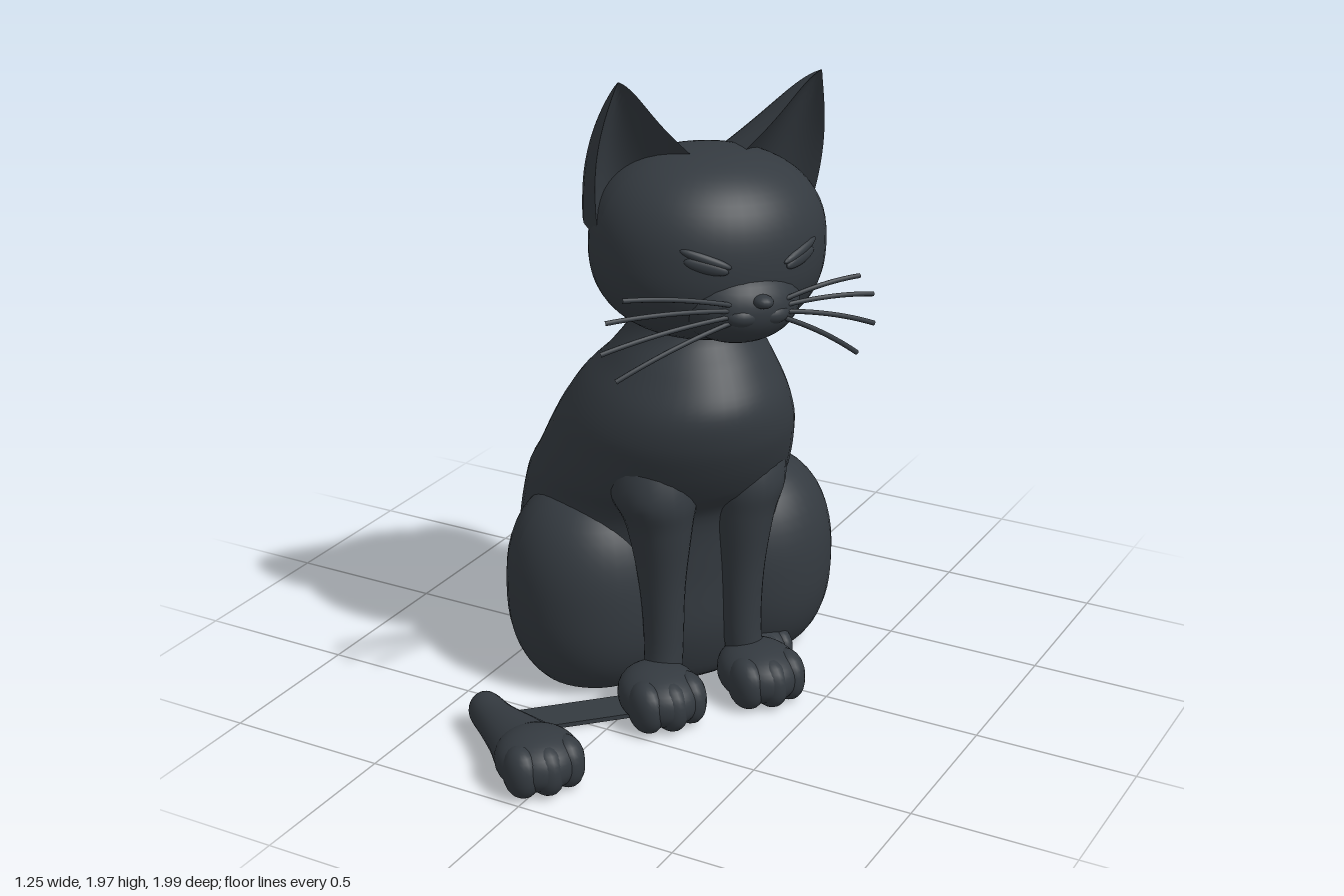
import * as THREE from 'three';
import { toCreasedNormals } from 'three/addons/utils/BufferGeometryUtils.js';

const V = (x, y, z) => new THREE.Vector3(x, y, z);

// Surface through closed loops of points, listed bottom to top
function skin(loops, crease = 0.8) {
  const n = loops[0].length, index = [];
  for (let i = 0; i < loops.length - 1; i++) {
    for (let j = 0; j < n; j++) {
      const p = i * n + j, q = i * n + (j + 1) % n;
      index.push(p, p + n, q, q, p + n, q + n);
    }
  }
  const geo = new THREE.BufferGeometry();
  geo.setAttribute('position', new THREE.Float32BufferAttribute(loops.flat().flatMap(v => v.toArray()), 3));
  geo.setIndex(index);
  return toCreasedNormals(geo, crease);
}

// Smooth loft through elliptical rings [x, y, z, radiusX, radiusZ], closed at both ends
function loft(rings, steps = 40, sides = 40) {
  const centres = new THREE.CatmullRomCurve3(rings.map(r => V(r[0], r[1], r[2])), false, 'catmullrom', 0.5);
  const radii = new THREE.CatmullRomCurve3(rings.map(r => V(r[3], r[4], 0)), false, 'catmullrom', 0.5);
  const ring = (t, k) => {
    const c = centres.getPoint(t), r = radii.getPoint(t);
    return Array.from({ length: sides }, (_, j) => {
      const a = j / sides * Math.PI * 2;
      return V(c.x + Math.cos(a) * r.x * k, c.y, c.z + Math.sin(a) * r.y * k);
    });
  };
  const loops = [ring(0, 0.001)];
  for (let i = 0; i <= steps; i++) loops.push(ring(i / steps, 1));
  loops.push(ring(1, 0.001));
  return skin(loops);
}

// Ellipsoid; power above 2 makes it fuller, and nothing drops below the floor
function blob(x, y, z, a, b, c, power = 2, detail = 32) {
  const geo = new THREE.SphereGeometry(1, detail, Math.round(detail * 0.7));
  const p = geo.attributes.position;
  for (let i = 0; i < p.count; i++) {
    const v = V().fromBufferAttribute(p, i);
    v.divideScalar(Math.pow(Math.abs(v.y) ** power + Math.hypot(v.x, v.z) ** power, 1 / power));
    p.setXYZ(i, x + v.x * a, Math.max(0, y + v.y * b), z + v.z * c);
  }
  geo.computeVertexNormals();
  return geo;
}

export function createModel() {
  const fur = new THREE.MeshStandardMaterial({ color: 0x343a40 });
  fur.name = 'charcoal';
  const model = new THREE.Group();
  model.name = 'cat';
  const cat = new THREE.Group();
  cat.name = 'sittingCat';
  cat.rotation.y = 0.95;
  model.add(cat);
  const add = (parent, name, geo) => {
    const mesh = new THREE.Mesh(geo, fur);
    mesh.name = name;
    parent.add(mesh);
    return mesh;
  };

  // Torso, from the flat seat to the neck
  add(cat, 'body', loft([
    [0, 0, -0.22, 0.34, 0.33],
    [0, 0.05, -0.22, 0.38, 0.38],
    [0, 0.2, -0.225, 0.42, 0.43],
    [0, 0.4, -0.23, 0.43, 0.44],
    [-0.01, 0.6, -0.185, 0.41, 0.415],
    [-0.02, 0.7, -0.11, 0.39, 0.415],
    [-0.025, 0.8, -0.046, 0.37, 0.41],
    [-0.03, 0.9, 0.012, 0.345, 0.39],
    [-0.03, 1.0, 0.055, 0.3, 0.35],
    [-0.02, 1.1, 0.08, 0.24, 0.265],
    [-0.01, 1.2, 0.077, 0.185, 0.19],
    [0, 1.32, 0.09, 0.17, 0.17],
  ], 60, 48));

  // Paw with three rounded toes
  function paw(parent, name, x, z, a, h, c) {
    const g = new THREE.Group();
    g.name = name;
    parent.add(g);
    add(g, 'pad', blob(x, h, z, a, h, c, 2.3));
    for (let k = -1; k <= 1; k++) {
      add(g, 'toe', blob(x + k * a * 0.56, h * 0.93, z + c * (0.5 - 0.14 * k * k), a * 0.42, h * 0.93, c * 0.53, 2.3, 20));
    }
  }

  for (const s of [-1, 1]) {
    const side = s > 0 ? 'left' : 'right';
    add(cat, side + 'Haunch', blob(s * 0.265, 0.3, -0.1, 0.28, 0.345, 0.28, 2.4, 40));
    // Front legs, merging into the chest
    const x = -0.04;
    add(cat, side + 'FrontLeg', loft([
      [x + s * 0.15, 0.06, 0.225, 0.06, 0.065],
      [x + s * 0.135, 0.2, 0.21, 0.06, 0.065],
      [x + s * 0.135, 0.4, 0.2, 0.07, 0.08],
      [x + s * 0.14, 0.6, 0.19, 0.1, 0.115],
      [x + s * 0.15, 0.72, 0.165, 0.135, 0.15],
      [x + s * 0.14, 0.9, 0.12, 0.12, 0.13],
    ], 30, 24));
    paw(cat, side + 'FrontPaw', -0.06 + s * 0.17, 0.295, 0.125, 0.085, 0.145);
  }

  // Hind feet: the left one is tucked in, the right one lies out to the side
  paw(cat, 'leftHindFoot', 0.22, 0.09, 0.09, 0.062, 0.115);
  const foot = new THREE.Group();
  foot.name = 'rightHindFoot';
  cat.add(foot);
  add(foot, 'sole', loft([
    [-0.735, 0.1, -0.075, 0.02, 0.02],
    [-0.735, 0.12, -0.07, 0.05, 0.055],
    [-0.73, 0.22, -0.07, 0.065, 0.06],
    [-0.715, 0.35, -0.075, 0.095, 0.07],
    [-0.71, 0.46, -0.08, 0.12, 0.078],
    [-0.71, 0.52, -0.08, 0.1, 0.06],
  ], 30, 24).rotateX(Math.PI / 2));
  paw(foot, 'toes', -0.71, 0.48, 0.125, 0.083, 0.13);

  // Thin strip on the floor linking the outstretched foot to the body
  const strip = add(model, 'hindLegStrip', new THREE.BoxGeometry(0.12, 0.014, 0.5));
  strip.position.set(-0.09, 0.009, 0.445);
  strip.rotation.y = -0.785;

  // Tail, curling upwards behind
  const tail = new THREE.Group();
  tail.name = 'tail';
  model.add(tail);
  const tip = V(-0.325, 0.665, -0.855);
  add(tail, 'tailCurve', new THREE.TubeGeometry(new THREE.CatmullRomCurve3([
    V(-0.35, 0.12, -0.36), V(-0.39, 0.105, -0.55), V(-0.39, 0.16, -0.72), V(-0.385, 0.3, -0.86),
    V(-0.38, 0.45, -0.89), V(-0.35, 0.58, -0.87), tip,
  ]), 48, 0.102, 24));
  add(tail, 'tailTip', blob(tip.x, tip.y, tip.z, 0.102, 0.102, 0.102));

  // Head, tilted a little; its parts are placed around the pivot
  const head = new THREE.Group();
  head.name = 'head';
  const pivot = V(-0.005, 1.46, 0.15);
  head.position.copy(pivot);
  head.rotation.z = -0.05;
  cat.add(head);
  const face = new THREE.Group();
  face.name = 'headParts';
  face.position.copy(pivot).negate();
  head.add(face);
  add(face, 'skull', blob(0, 1.46, 0.15, 0.355, 0.28, 0.325, 2.35, 48));
  add(face, 'muzzle', blob(0, 1.345, 0.34, 0.19, 0.13, 0.175));
  add(face, 'nose', blob(0, 1.38, 0.508, 0.03, 0.02, 0.032, 2, 16));

  // Ear: crescent sections shrinking to a rounded tip, hollow at the front
  function ear(s) {
    const apex = V(0.325, 1.955, 0.19);
    const outer = V(0.345, 1.5, 0.13), inner = V(0.04, 1.69, 0.19);
    const front = new THREE.QuadraticBezierCurve3(outer, V(0.2, 1.5, -0.1), inner).getPoints(12);
    const back = new THREE.CubicBezierCurve3(inner, V(0.0, 1.68, -0.2), V(0.35, 1.46, -0.27), outer).getPoints(16);
    const base = [...front, ...back.slice(1, -1)];
    const loops = [];
    for (let i = 0; i <= 20; i++) {
      const t = 1 - (1 - i / 20) ** 1.5;
      const k = Math.max(0.01, Math.pow(1 - t, 0.75)), bulge = 0.03 * Math.sin(Math.PI * t);
      const loop = base.map(p => {
        const v = p.clone().sub(apex);
        v.set(v.x * k, v.y * (1 - t), v.z * k).add(apex);
        return V((v.x + bulge) * s, v.y, v.z);
      });
      loops.push(s > 0 ? loop : loop.reverse());
    }
    return skin(loops, 0.9);
  }

  for (const s of [-1, 1]) {
    const side = s > 0 ? 'left' : 'right';
    add(face, side + 'Ear', ear(s));
    add(face, side + 'Cheek', blob(s * 0.045, 1.332, 0.465, 0.06, 0.036, 0.05, 2, 24));
    // Narrow slanted eye under a heavy lid
    const eye = add(face, side + 'Eye', new THREE.SphereGeometry(1, 24, 12));
    eye.scale.set(0.066, 0.02, 0.014);
    eye.position.set(s * 0.15, 1.475, 0.439);
    eye.rotation.set(0, s * 0.46, s * 0.22);
    const lid = add(face, side + 'Eyelid', new THREE.SphereGeometry(1, 24, 12));
    lid.scale.set(0.078, 0.016, 0.016);
    lid.position.set(s * 0.15, 1.496, 0.434);
    lid.rotation.set(0, s * 0.46, s * 0.3);
    // Whiskers: start height, end height, end reach
    [[1.365, 1.42, 0.37], [1.35, 1.36, 0.42], [1.335, 1.27, 0.43], [1.32, 1.185, 0.38]].forEach(([y0, y1, r]) => {
      const reach = s > 0 ? r - 0.05 : r + 0.06;
      const curve = new THREE.QuadraticBezierCurve3(
        V(s * 0.07, y0, 0.48), V(s * reach * 0.6, (y0 + y1) / 2 + 0.025, 0.5), V(s * reach, y1, 0.49));
      add(face, side + 'Whisker', new THREE.TubeGeometry(curve, 12, 0.0075, 8));
    });
  }
  return model;
}
